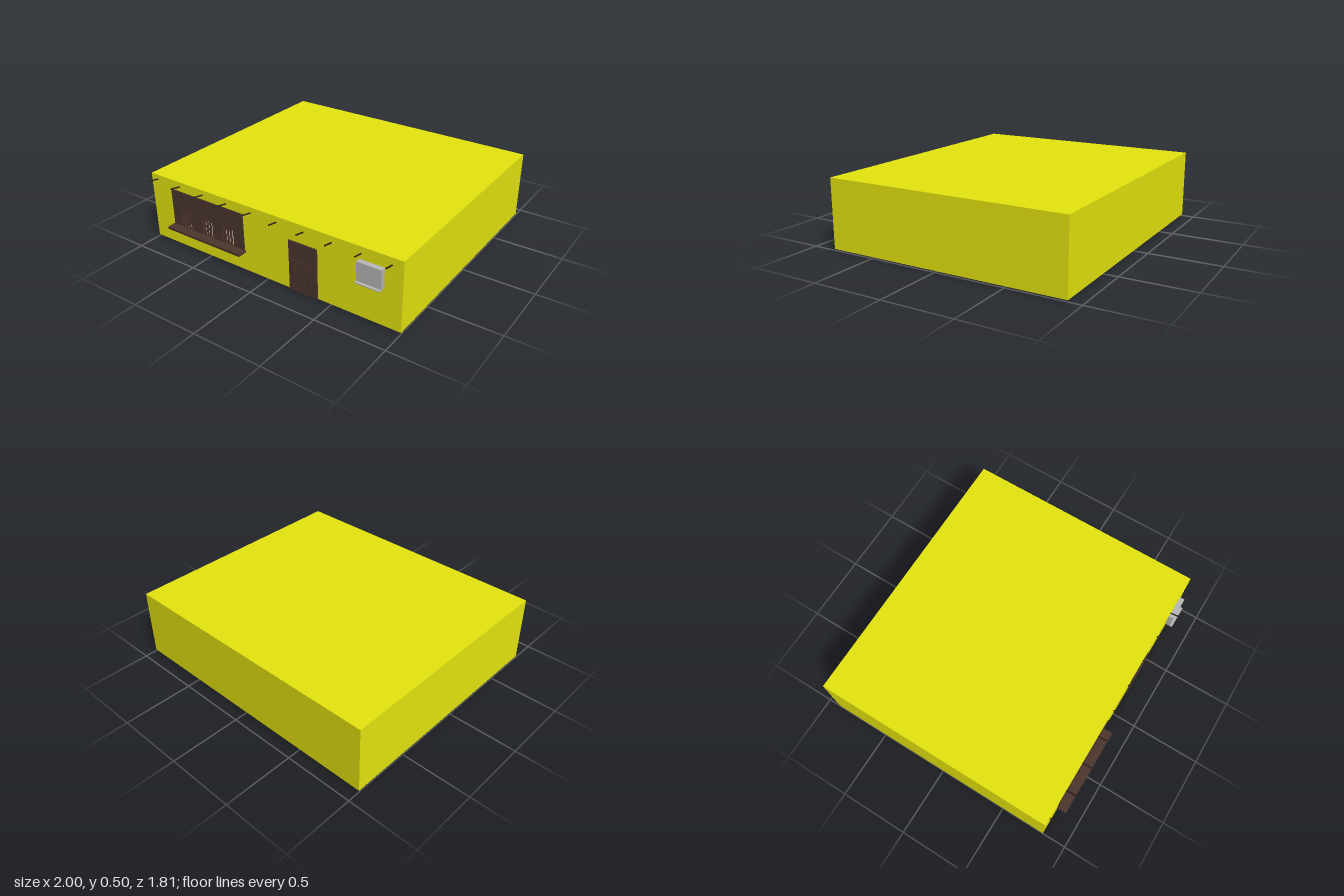
import * as THREE from 'three';

const paint = (color) => new THREE.MeshStandardMaterial({ color });
const YELLOW = paint(0xe6e60f), BROWN = paint(0x4d362e), DARK = paint(0x2e211c);
const GREY = paint(0xcccccc), METAL = paint(0xb8b8b8);

export function createModel() {
  const model = new THREE.Group();

  // Box given by its lower and upper corners
  function box(name, mat, x0, x1, y0, y1, z0, z1, parent = model) {
    const mesh = new THREE.Mesh(new THREE.BoxGeometry(x1 - x0, y1 - y0, z1 - z0), mat);
    mesh.position.set((x0 + x1) / 2, (y0 + y1) / 2, (z0 + z1) / 2);
    mesh.name = name;
    parent.add(mesh);
    return mesh;
  }

  // Upright slab in the xy plane with rectangular holes
  function slab(name, mat, [x0, x1, y0, y1], holes, z, depth) {
    const rect = (P, a, b, c, d) => {
      const p = new P();
      p.moveTo(a, c); p.lineTo(b, c); p.lineTo(b, d); p.lineTo(a, d); p.closePath();
      return p;
    };
    const shape = rect(THREE.Shape, x0, x1, y0, y1);
    holes.forEach((h) => shape.holes.push(rect(THREE.Path, ...h)));
    const mesh = new THREE.Mesh(new THREE.ExtrudeGeometry(shape, { depth, bevelEnabled: false }), mat);
    mesh.position.z = z;
    mesh.name = name;
    model.add(mesh);
  }

  // House shell
  const T = 0.02, B = -0.91, F = 0.825;
  box('roof', YELLOW, -1, 1, 0.5 - T, 0.5, B, F);
  box('backWall', YELLOW, -1, 1, 0.01, 0.5 - T, B, B + T);
  for (const s of [-1, 1]) {
    const x = s * (1 - T / 2);
    box('sideWall', YELLOW, x - T / 2, x + T / 2, 0.01, 0.5 - T, B + T, F - T);
  }
  slab('frontWall', YELLOW, [-1, 1, 0.01, 0.5 - T], [[-0.78, -0.21, 0.162, 0.4]], F - T, T);
  box('floor', GREY, -0.99, 0.99, 0.008, 0.02, B + 0.01, F - 0.01);

  // Window panel with three barred openings and a projecting sill
  const openings = [-0.697, -0.502, -0.318];
  slab('windowPanel', BROWN, [-0.815, -0.18, 0.155, 0.43],
    openings.map((x) => [x - 0.047, x + 0.047, 0.162, 0.28]), F - 0.01, 0.016);
  for (const x of openings)
    for (const dx of [-0.026, 0, 0.026])
      box('windowBar', BROWN, x + dx - 0.005, x + dx + 0.005, 0.16, 0.28, F - 0.005, F + 0.008);
  box('windowSill', BROWN, -0.82, -0.175, 0.145, 0.163, F - 0.01, 0.893);

  // Door with a plain upper panel, vertical planks and a knob
  box('doorLeaf', BROWN, 0.19, 0.405, 0.005, 0.37, F - 0.005, F + 0.005);
  box('doorUpperPanel', BROWN, 0.19, 0.405, 0.245, 0.37, F, F + 0.009);
  for (let i = 0; i < 5; i++) {
    const x = 0.191 + i * 0.043;
    box('doorPlank', BROWN, x, x + 0.039, 0.012, 0.243, F, F + 0.01);
  }
  const knob = new THREE.Mesh(new THREE.SphereGeometry(0.008, 12, 8), DARK);
  knob.position.set(0.207, 0.2, F + 0.013);
  knob.name = 'doorKnob';
  model.add(knob);

  // Row of roof beam ends, tilted up outwards
  for (let i = 0; i < 10; i++) {
    const beam = new THREE.Mesh(new THREE.CylinderGeometry(0.005, 0.005, 0.1, 8), DARK);
    beam.rotation.set(Math.PI / 2 - 0.2, 0, 0);
    beam.position.set(-0.943 + i * 0.2073, 0.473 - i * 0.0022, 0.855 - i * 0.0015);
    beam.name = 'roofBeam';
    model.add(beam);
  }

  // Wall unit with a thin bottom ledge
  box('wallUnit', METAL, 0.705, 0.877, 0.28, 0.415, F - 0.01, 0.86);
  box('wallUnitLedge', METAL, 0.705, 0.877, 0.276, 0.283, F - 0.01, 0.878);

  // Table in the back corner, its feet just showing below the floor
  for (const x of [0.665, 0.9])
    for (const z of [-0.705, -0.53])
      box('tableLeg', BROWN, x - 0.018, x + 0.018, 0.002, 0.15, z - 0.012, z + 0.012);
  box('tableTop', BROWN, 0.63, 0.935, 0.15, 0.165, -0.74, -0.49);

  // Chair in the front corner on two runners
  const runners = [[-0.80, 0.755], [-0.95, 0.66]];
  for (const [x, z] of runners) {
    box('chairRunner', DARK, x - 0.012, x + 0.012, 0, 0.015, z - 0.022, z + 0.022);
    box('chairLeg', DARK, x - 0.008, x + 0.008, 0.01, 0.1, z - 0.008, z + 0.008);
  }
  box('chairSeat', DARK, -0.96, -0.79, 0.1, 0.115, 0.63, 0.78);
  box('chairBack', DARK, -0.96, -0.79, 0.115, 0.24, 0.62, 0.635);

  return model;
}
